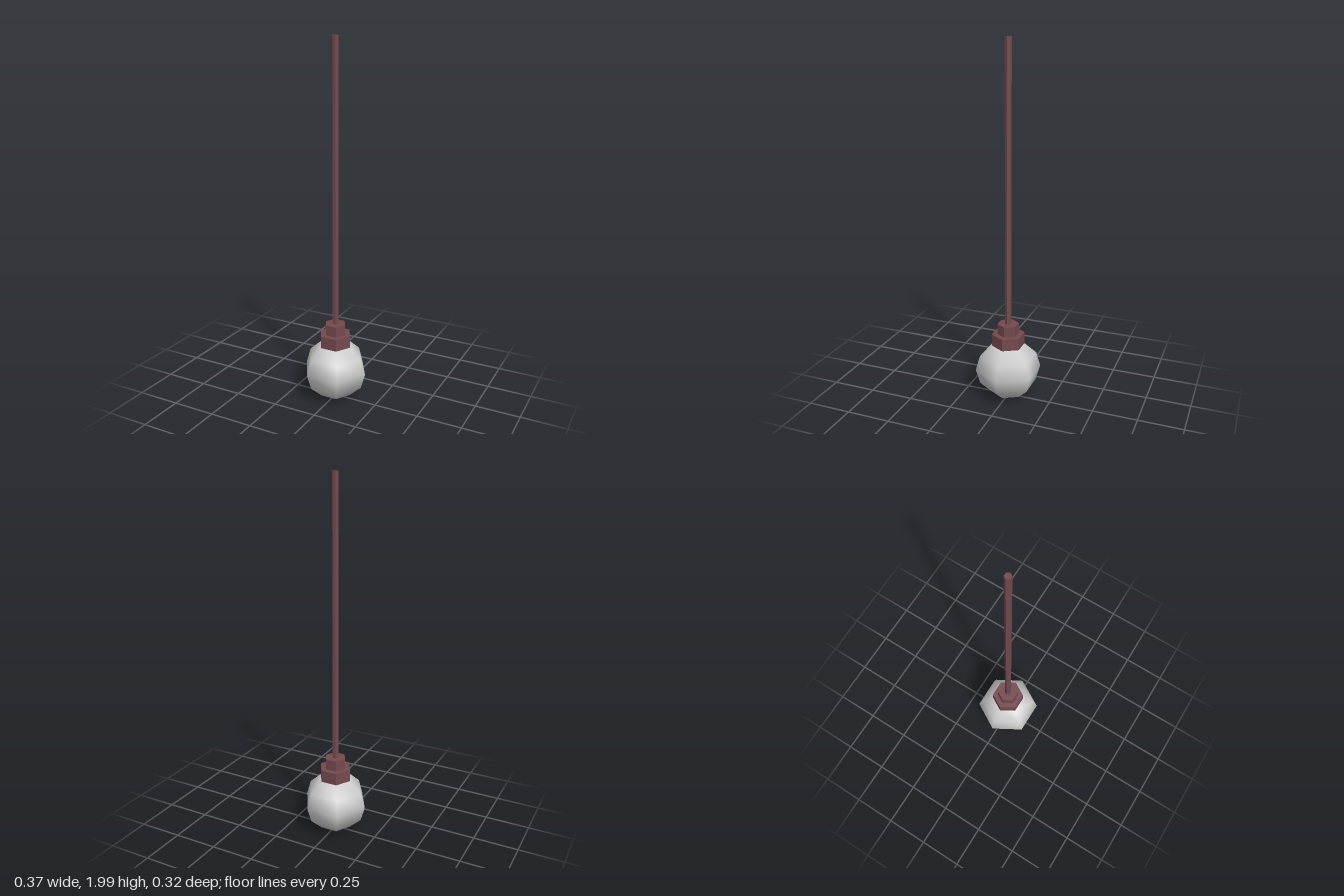
import * as THREE from 'three';

export function createModel() {
  const lamp = new THREE.Group();
  lamp.name = 'pendantLamp';
  const fitting = new THREE.MeshStandardMaterial({ color: 0x74494f, flatShading: true });
  const glass = new THREE.MeshStandardMaterial({ color: 0xcccccc });

  // Six-sided prism with a corner on the x axis
  function prism(name, radius, bottom, top) {
    const geometry = new THREE.CylinderGeometry(radius, radius, top - bottom, 6, 1, false, Math.PI / 2);
    const mesh = new THREE.Mesh(geometry, fitting);
    mesh.name = name;
    mesh.position.y = (bottom + top) / 2;
    lamp.add(mesh);
  }

  // Hanging rod and the stepped socket
  prism('rod', 0.018, 0.44, 2);
  prism('upperCollar', 0.061, 0.385, 0.45);
  prism('lowerCollar', 0.093, 0.32, 0.39);

  // Slightly squashed bulb with smooth shading
  const bulb = new THREE.Mesh(new THREE.SphereGeometry(0.186, 6, 6), glass);
  bulb.name = 'bulb';
  bulb.scale.y = 0.91;
  bulb.position.y = 0.175;
  lamp.add(bulb);

  return lamp;
}
